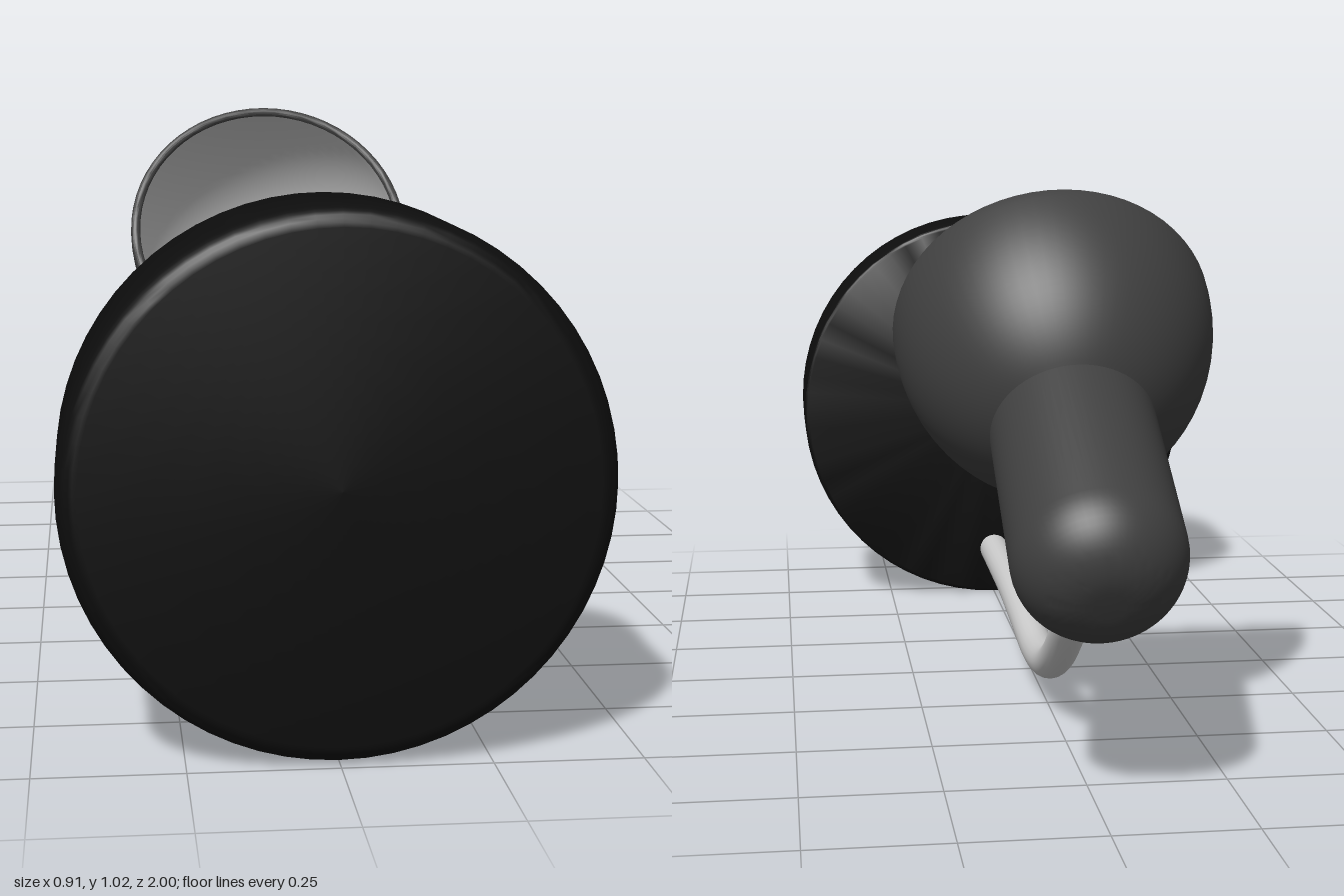
import * as THREE from 'three';
import { toCreasedNormals } from 'three/addons/utils/BufferGeometryUtils.js';

const black = new THREE.MeshStandardMaterial({ color: 0x0d0d0d });
const charcoal = new THREE.MeshStandardMaterial({ color: 0x404040 });
const grey = new THREE.MeshStandardMaterial({ color: 0xcccccc });

// Turned part from [radius, height] pairs, with sharp edges kept
function turned(name, profile, material) {
  const points = profile.map(([r, h]) => new THREE.Vector2(r, h));
  const mesh = new THREE.Mesh(toCreasedNormals(new THREE.LatheGeometry(points, 64), 0.6), material);
  mesh.name = name;
  return mesh;
}

// Arc points in a profile: centre (r, h), radii (a, b), angle from -> to
function arc(r, h, a, b, from, to, steps) {
  return Array.from({ length: steps + 1 }, (_, i) => {
    const t = from + (to - from) * i / steps;
    return [r + a * Math.cos(t), h + b * Math.sin(t)];
  });
}

export function createModel() {
  const lamp = new THREE.Group();
  lamp.name = 'deskLamp';
  const quarter = Math.PI / 2;

  // Heavy round base, standing on its edge
  const base = turned('base', [
    [0, 0], ...arc(0.445, 0.01, 0.01, 0.01, -quarter, 0, 4),
    ...arc(0.42, 0.25, 0.035, 0.05, 0, quarter, 8), [0, 0.3],
  ], black);
  base.rotation.x = quarter;
  base.position.set(0, 0.457, 0.7);
  lamp.add(base);

  // Bent arm from the base to the lamp head
  const path = new THREE.CatmullRomCurve3([
    [0.11, 0.72], [0.108, 0.5], [0.104, 0.3], [0.09, 0.1], [0.074, -0.13],
    [0.095, -0.28], [0.16, -0.43], [0.255, -0.56], [0.34, -0.62], [0.43, -0.67],
  ].map(([y, z]) => new THREE.Vector3(0, y, z)));
  const arm = new THREE.Mesh(new THREE.TubeGeometry(path, 80, 0.034, 20), grey);
  arm.name = 'arm';
  lamp.add(arm);

  // Head: local y runs from the shade opening to the back of the socket
  const head = new THREE.Group();
  head.name = 'lampHead';
  head.position.set(0, 0.76, -0.305);
  head.rotation.x = -Math.PI * 2 / 3;
  lamp.add(head);

  // Shade with a rounded rim and a pale lining with a flat end
  head.add(turned('shade', [
    ...arc(0.293, 0, 0.01, 0.008, -Math.PI, 0, 8),
    ...arc(0, 0, 0.303, 0.37, 0, 1.08, 20).slice(1),
  ], charcoal));
  head.add(turned('shadeLining', [
    [0, 0.314], ...arc(0, 0, 0.283, 0.347, 1.132, 0, 20),
  ], grey));

  // Socket housing with a rounded back
  head.add(turned('socketHousing', [
    [0.15, 0.315], ...arc(0.03, 0.65, 0.12, 0.122, 0, quarter, 14), [0, 0.772],
  ], charcoal));

  return lamp;
}
